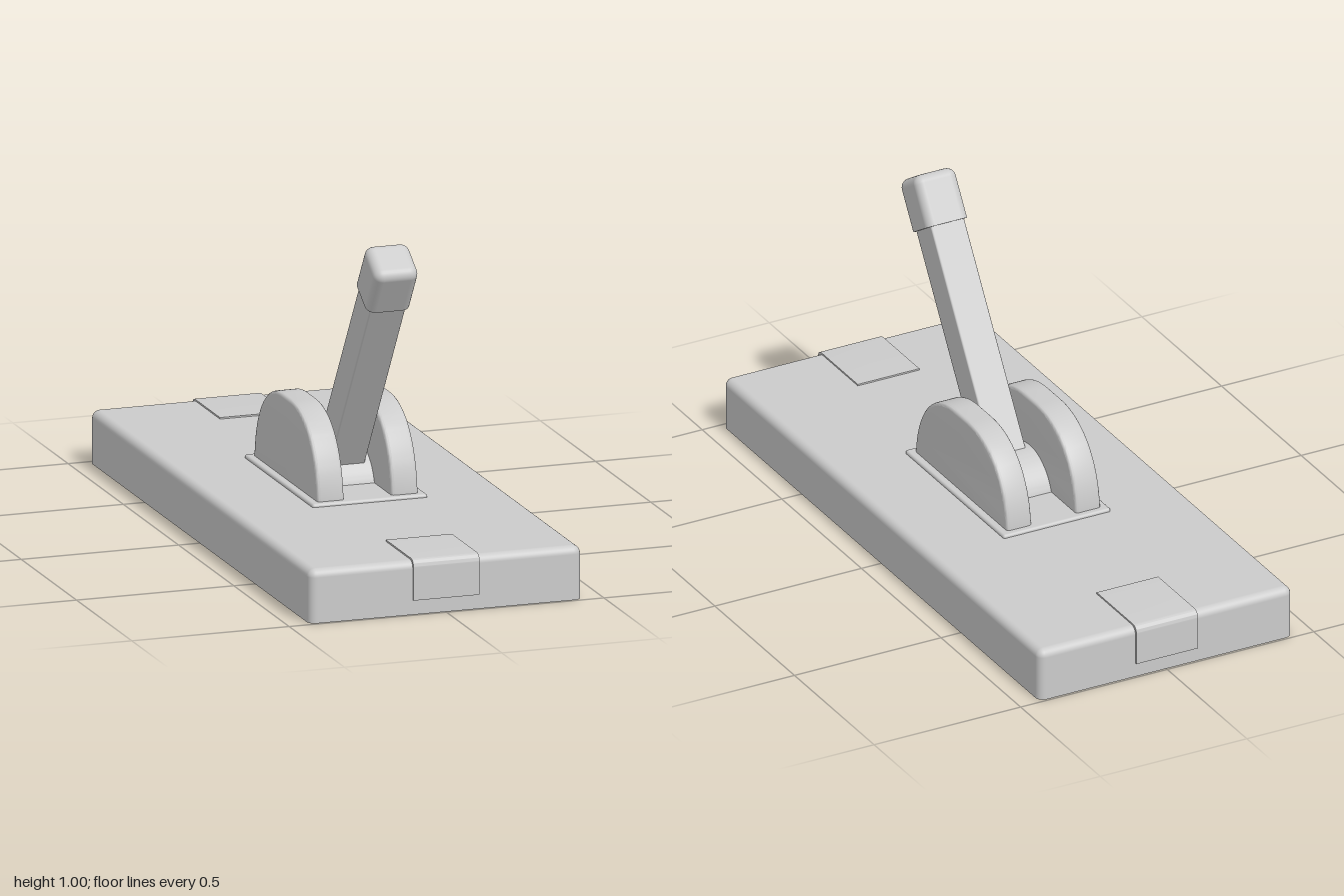
import * as THREE from 'three';
import { RoundedBoxGeometry } from 'three/addons/geometries/RoundedBoxGeometry.js';
import { toCreasedNormals } from 'three/addons/utils/BufferGeometryUtils.js';

const material = new THREE.MeshStandardMaterial({ color: 0xcccccc });

function part(name, geometry) {
  const mesh = new THREE.Mesh(geometry, material);
  mesh.name = name;
  return mesh;
}

// Box standing on y = 0 with rounded sides and top but a flat, sharp-edged bottom
function softTopBox(w, h, d, r) {
  const geo = new RoundedBoxGeometry(w, h + r, d, 4, r).translate(0, (h - r) / 2, 0);
  const p = geo.attributes.position;
  const n = geo.attributes.normal;
  for (let i = 0; i < p.count; i += 3) {
    const low = [i, i + 1, i + 2].every((k) => p.getY(k) < 1e-5);
    for (let k = i; k < i + 3; k++) {
      if (p.getY(k) < 0) p.setY(k, 0);
      if (low) n.setXYZ(k, 0, -1, 0);
    }
  }
  return geo;
}

// Extrude a (z, y) outline along x, centred on x = 0
function extrudeAcross(shape, width, bevel) {
  const geo = new THREE.ExtrudeGeometry(shape, {
    depth: width - 2 * bevel,
    curveSegments: 32,
    bevelEnabled: bevel > 0,
    bevelSize: bevel,
    bevelThickness: bevel,
    bevelOffset: -bevel,
    bevelSegments: 3,
  });
  geo.translate(0, 0, -(width - 2 * bevel) / 2).rotateY(-Math.PI / 2);
  return toCreasedNormals(geo, 0.6);
}

export function createModel() {
  const model = new THREE.Group();
  model.name = 'lever';

  // Base slab and raised mounting plate
  model.add(part('base', softTopBox(0.866, 0.166, 1.988, 0.025)));
  const plate = part('mountingPlate', softTopBox(0.366, 0.02, 0.622, 0.008));
  plate.position.y = 0.156;
  model.add(plate);

  // Thin pads wrapping over both ends of the base
  const padShape = new THREE.Shape();
  padShape.moveTo(0.75, 0.045);
  padShape.lineTo(1, 0.045);
  padShape.lineTo(1, 0.146);
  padShape.quadraticCurveTo(1, 0.171, 0.975, 0.171);
  padShape.lineTo(0.75, 0.171);
  padShape.closePath();
  const padGeometry = extrudeAcross(padShape, 0.21, 0);
  ['frontPad', 'backPad'].forEach((name, i) => {
    const pad = part(name, padGeometry);
    pad.rotation.y = i * Math.PI;
    model.add(pad);
  });

  // Domed cheeks on either side of the lever
  const cheekShape = new THREE.Shape();
  cheekShape.moveTo(0.29, 0.16);
  cheekShape.lineTo(0.29, 0.175);
  cheekShape.bezierCurveTo(0.28, 0.33, 0.18, 0.43, 0.04, 0.43);
  cheekShape.lineTo(-0.04, 0.43);
  cheekShape.bezierCurveTo(-0.18, 0.43, -0.28, 0.33, -0.29, 0.175);
  cheekShape.lineTo(-0.29, 0.16);
  cheekShape.closePath();
  const cheekGeometry = extrudeAcross(cheekShape, 0.085, 0.01);
  for (const side of [1, -1]) {
    const cheek = part(side > 0 ? 'leftCheek' : 'rightCheek', cheekGeometry);
    cheek.position.x = side * 0.1175;
    model.add(cheek);
  }

  // Pivot drum: the upper part of a cylinder, cut off inside the base
  const drumShape = new THREE.Shape();
  drumShape.absarc(0, 0.13, 0.142, 0, Math.PI, false);
  drumShape.closePath();
  model.add(part('pivotDrum', extrudeAcross(drumShape, 0.155, 0)));

  // Tilted handle with its grip
  const handle = new THREE.Group();
  handle.name = 'handle';
  handle.position.y = 0.18;
  handle.rotation.x = 0.573;
  const shaft = part('shaft', new RoundedBoxGeometry(0.114, 0.8, 0.112, 2, 0.005));
  shaft.position.y = 0.42;
  const grip = part('grip', softTopBox(0.14, 0.16, 0.138, 0.028));
  grip.position.y = 0.785;
  handle.add(shaft, grip);
  model.add(handle);

  return model;
}
